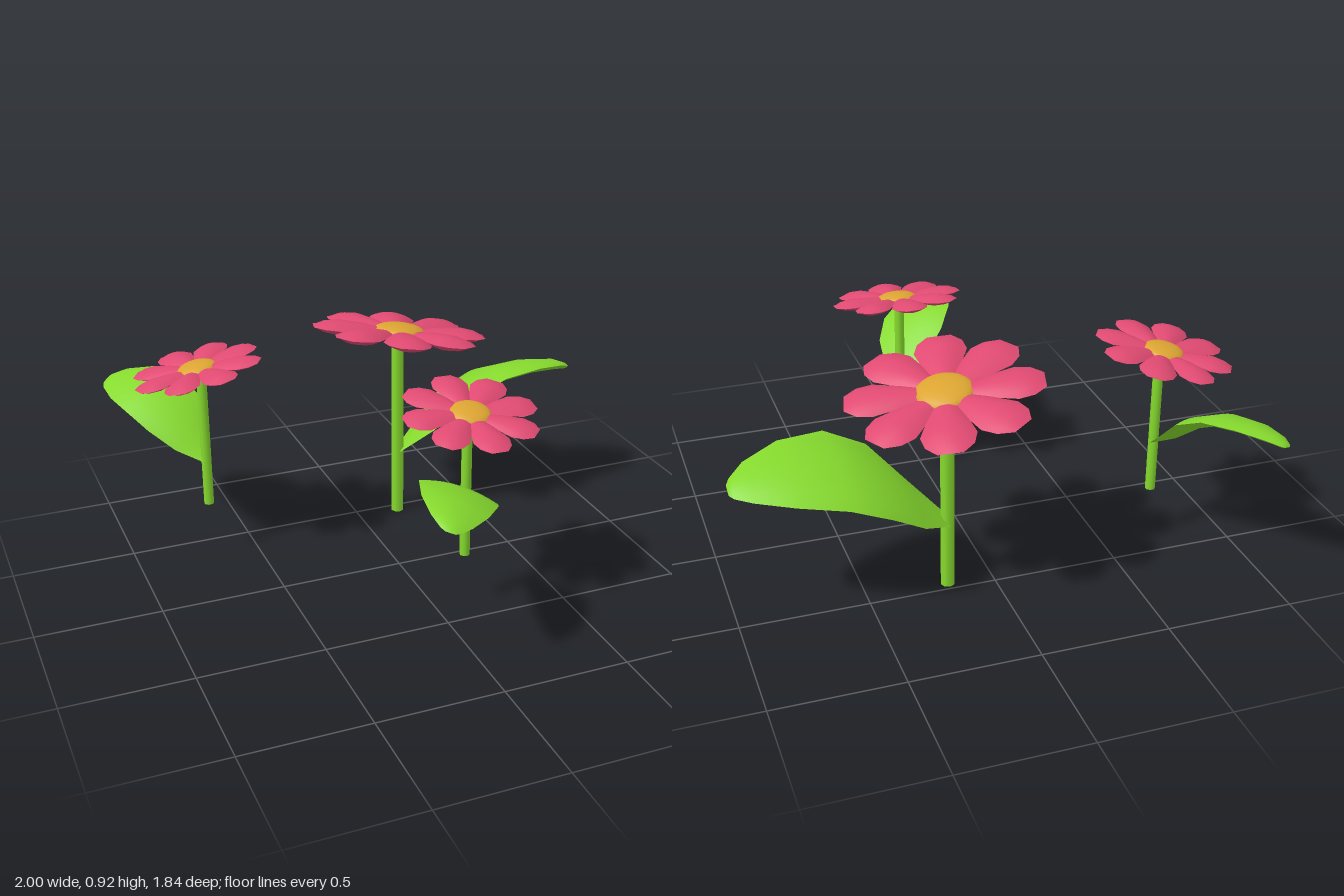
import * as THREE from 'three';

const green = new THREE.MeshStandardMaterial({ color: 0x86da2e });
const pink = new THREE.MeshStandardMaterial({ color: 0xe04a72 });
const gold = new THREE.MeshStandardMaterial({ color: 0xdca532 });

// Pillow-like blade along +x: stations are [x, y, halfWidth, halfThickness].
// Top and underside keep separate vertices, so the rim stays sharp.
function blade(stations, roll = 0, n = 8) {
  const pos = [], index = [];
  for (const side of [1, -1]) {
    const base = pos.length / 3;
    stations.forEach(([x, y, w, t], i) => {
      for (let j = 0; j <= n; j++) {
        const u = (j / n) * 2 - 1;
        pos.push(x, y + roll * u * w + side * t * (1 - u * u), u * w);
        if (i < stations.length - 1 && j < n) {
          const a = base + i * (n + 1) + j, b = a + 1, c = a + n + 1, d = c + 1;
          if (side > 0) index.push(a, b, c, b, d, c);
          else index.push(a, c, b, b, c, d);
        }
      }
    });
  }
  const geo = new THREE.BufferGeometry();
  geo.setAttribute('position', new THREE.Float32BufferAttribute(pos, 3));
  geo.setIndex(index);
  geo.computeVertexNormals();
  return geo;
}

const petalGeo = blade([
  [0.07, 0, 0.035, 0.01],
  [0.16, 0, 0.07, 0.025],
  [0.26, 0, 0.1, 0.031],
  [0.32, 0, 0.086, 0.022],
  [0.365, 0, 0.045, 0],
]);

const leafGeo = blade([
  [0.0, 0.285, 0.035, 0],
  [0.12, 0.375, 0.12, 0.025],
  [0.26, 0.5, 0.19, 0.035],
  [0.42, 0.575, 0.2, 0.035],
  [0.6, 0.592, 0.165, 0.032],
  [0.74, 0.582, 0.1, 0.025],
  [0.8, 0.567, 0.05, 0.015],
  [0.815, 0.562, 0.025, 0],
], 0.3);

const stemGeo = new THREE.CylinderGeometry(0.028, 0.028, 0.82, 8);
const centreGeo = new THREE.SphereGeometry(0.11, 20, 12);

function mesh(name, geo, mat) {
  const m = new THREE.Mesh(geo, mat);
  m.name = name;
  return m;
}

function createFlower(name) {
  const flower = new THREE.Group();
  flower.name = name;

  const stem = mesh('stem', stemGeo, green);
  stem.position.y = 0.41;
  flower.add(stem, mesh('leaf', leafGeo, green));

  // Blossom, leaning to one side
  const head = new THREE.Group();
  head.name = 'blossom';
  head.position.set(0.015, 0.834, -0.015);
  head.quaternion.setFromAxisAngle(new THREE.Vector3(-0.62, 0, -0.79).normalize(), 0.19);
  const centre = mesh('flowerCentre', centreGeo, gold);
  centre.scale.y = 0.32;
  head.add(centre);
  for (let i = 0; i < 8; i++) {
    const petal = mesh('petal', petalGeo, pink);
    petal.rotation.y = -THREE.MathUtils.degToRad(15 + 45 * i);
    head.add(petal);
  }
  flower.add(head);
  return flower;
}

export function createModel() {
  const model = new THREE.Group();
  model.name = 'flowers';
  // name, x, y, z, scale, leaf direction in degrees
  const layout = [
    ['largeFlower', 0.18, 0, -0.46, 1, 0],
    ['frontFlower', 0.11, 0.23, 0.4, 0.72, 120],
    ['rightFlower', -0.69, 0.23, -0.395, 0.72, -118],
  ];
  for (const [name, x, y, z, s, deg] of layout) {
    const flower = createFlower(name);
    flower.position.set(x, y, z);
    flower.scale.setScalar(s);
    flower.rotation.y = -THREE.MathUtils.degToRad(deg);
    model.add(flower);
  }
  return model;
}
